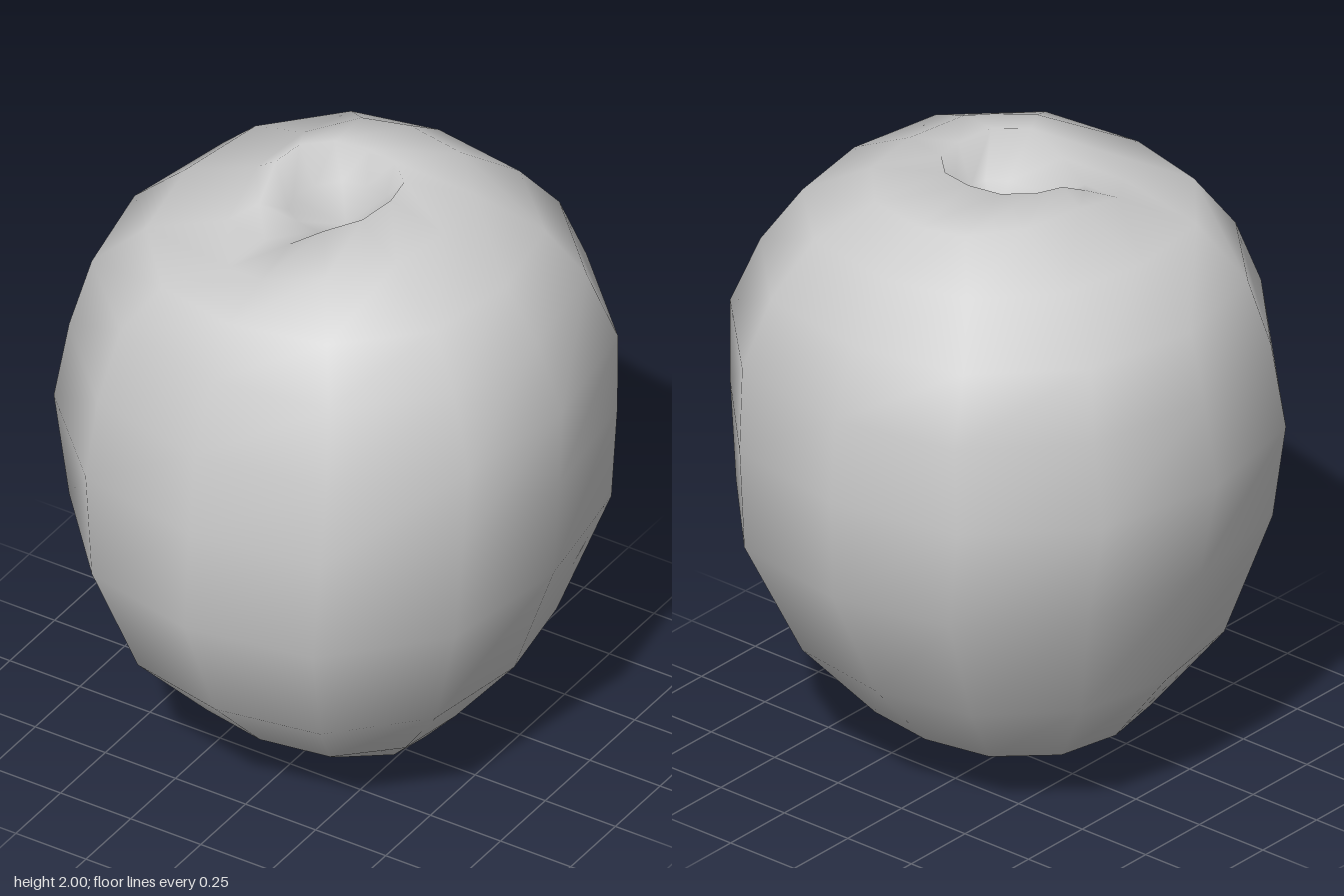
import * as THREE from 'three';

const SEGMENTS = 12;

// Cross-sections from the base up and over the rim: y, reach to -x, +x, -z, +z, groove depth
const RINGS = [
  [0.07, 0.18, 0.32, 0.18, 0.24, 0],
  [0.19, 0.42, 0.43, 0.39, 0.42, 0],
  [0.45, 0.62, 0.64, 0.62, 0.67, 0],
  [0.85, 0.75, 0.78, 0.82, 0.84, 0],
  [1.18, 0.82, 0.8, 0.83, 0.815, 0],
  [1.45, 0.77, 0.81, 0.81, 0.785, 0],
  [1.67, 0.715, 0.72, 0.725, 0.69, 0],
  [1.84, 0.53, 0.61, 0.58, 0.6, 0.02],
  [1.95, 0.28, 0.39, 0.42, 0.41, 0.11],
  [2.0, 0.21, 0.2, 0.19, 0.25, 0.13],
  [1.87, 0.15, 0.15, 0.18, 0.1, 0],
];
const BASE = [0, 0, 0];
const HOLLOW_FLOOR = [0, 1.8, -0.06];
const GROOVE_ANGLE = (119 * Math.PI) / 180;
const GROOVE_WIDTH = (75 * Math.PI) / 180;

function ringPoint([y, left, right, back, front, groove], k) {
  const a = (k / SEGMENTS) * Math.PI * 2;
  const c = Math.cos(a), s = Math.sin(a);
  // The body is fuller on its diagonals, most of all on the +x side
  const full = 1 + (c > 0 ? 0.07 : 0.045) * Math.sin(2 * a) ** 2;
  // The groove runs from the hollow towards the front
  const d = Math.min(Math.abs(a - GROOVE_ANGLE) / GROOVE_WIDTH, 1);
  const dip = groove * 0.5 * (1 + Math.cos(Math.PI * d));
  return [c * full * (c > 0 ? right : left), y - dip, s * full * (s > 0 ? front : back)];
}

function podGeometry() {
  const positions = [...BASE];
  for (const ring of RINGS) {
    for (let k = 0; k < SEGMENTS; k++) positions.push(...ringPoint(ring, k));
  }
  positions.push(...HOLLOW_FLOOR);

  const at = (r, k) => 1 + r * SEGMENTS + (k % SEGMENTS);
  const last = RINGS.length - 1;
  const floor = 1 + RINGS.length * SEGMENTS;
  const index = [];
  for (let k = 0; k < SEGMENTS; k++) {
    index.push(0, at(0, k), at(0, k + 1));
    for (let r = 0; r < last; r++) {
      index.push(at(r, k), at(r + 1, k), at(r, k + 1));
      index.push(at(r, k + 1), at(r + 1, k), at(r + 1, k + 1));
    }
    index.push(at(last, k), floor, at(last, k + 1));
  }

  const geometry = new THREE.BufferGeometry();
  geometry.setAttribute('position', new THREE.Float32BufferAttribute(positions, 3));
  geometry.setIndex(index);
  geometry.computeVertexNormals();
  return geometry;
}

export function createModel() {
  const group = new THREE.Group();
  group.name = 'pod';
  const lightGrey = new THREE.MeshStandardMaterial({ color: 0xcccccc });
  lightGrey.name = 'lightGrey';
  const body = new THREE.Mesh(podGeometry(), lightGrey);
  body.name = 'podBody';
  group.add(body);
  return group;
}
